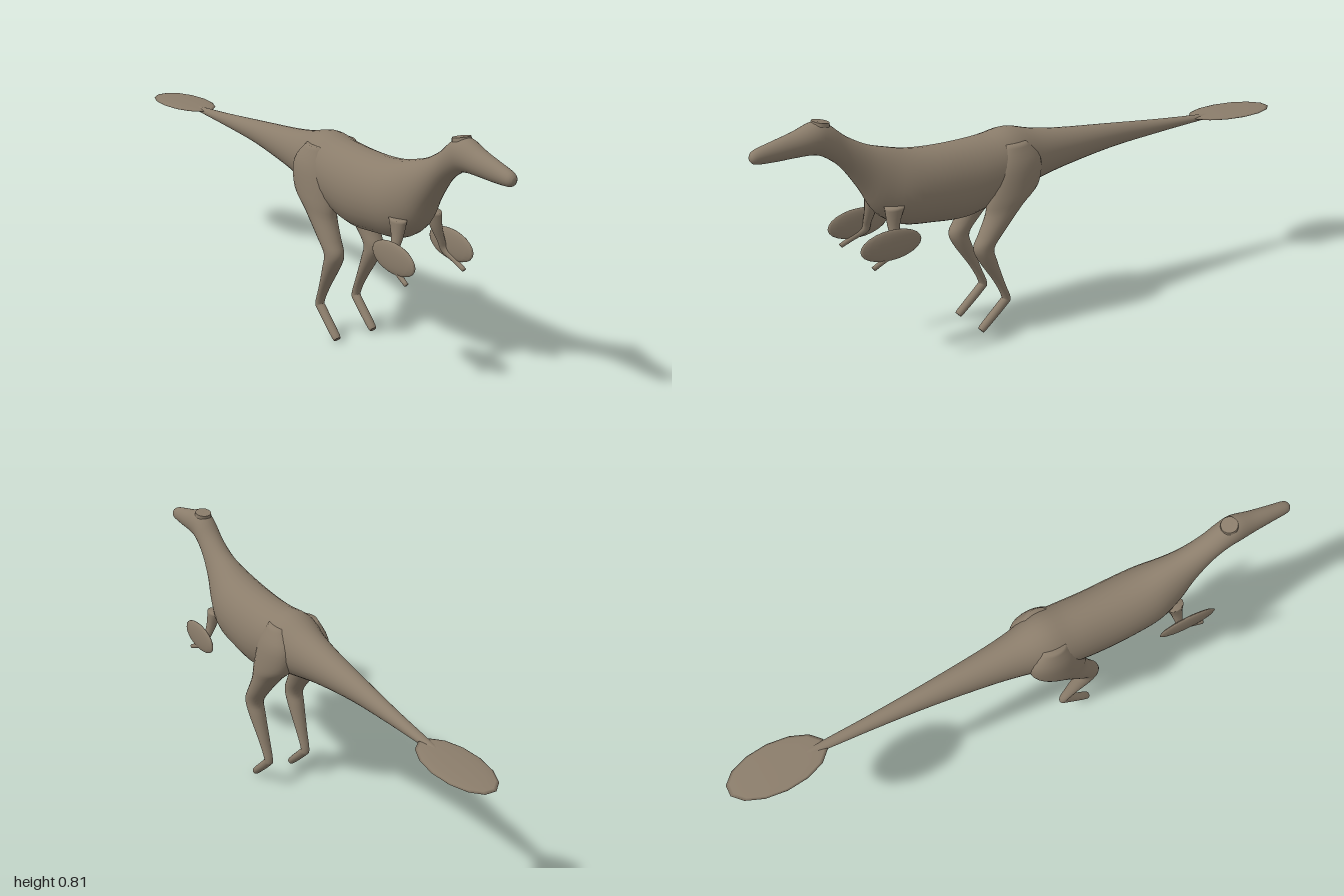
import * as THREE from 'three';

// Smooth skin through cross-sections [centreX, halfWidth, zA, yA, zB, yB],
// where A and B are the two opposite points of a section seen from the side.
function loft(sections, sides = 24, steps = 4) {
  const n = sections.length, rings = [];
  const spline = (a, b, c, d, t) => {
    const v0 = (c - a) / 2, v1 = (d - b) / 2;
    return (2 * b - 2 * c + v0 + v1) * t ** 3 + (-3 * b + 3 * c - 2 * v0 - v1) * t * t + v0 * t + b;
  };
  for (let s = 0; s < n - 1; s++) {
    const [a, b, c, d] = [s - 1, s, s + 1, s + 2].map(k => sections[Math.min(n - 1, Math.max(0, k))]);
    for (let k = 0; k < steps; k++) rings.push(b.map((_, i) => spline(a[i], b[i], c[i], d[i], k / steps)));
  }
  rings.push(sections[n - 1]);

  const pos = [], index = [];
  for (const [cx, w, za, ya, zb, yb] of rings) {
    for (let i = 0; i < sides; i++) {
      const a = (i / sides) * Math.PI * 2, s = Math.sin(a) / 2;
      pos.push(cx + w * Math.cos(a), (ya + yb) / 2 + (ya - yb) * s, (za + zb) / 2 + (za - zb) * s);
    }
  }
  for (let j = 0; j < rings.length - 1; j++) {
    for (let i = 0; i < sides; i++) {
      const p = j * sides + i, q = j * sides + (i + 1) % sides;
      index.push(p, p + sides, q, q, p + sides, q + sides);
    }
  }
  // end caps
  for (const j of [0, rings.length - 1]) {
    const [cx, , za, ya, zb, yb] = rings[j], c = pos.length / 3;
    pos.push(cx, (ya + yb) / 2, (za + zb) / 2);
    for (let i = 0; i < sides; i++) {
      const p = j * sides + i, q = j * sides + (i + 1) % sides;
      if (j === 0) index.push(c, p, q); else index.push(c, q, p);
    }
  }
  const g = new THREE.BufferGeometry();
  g.setAttribute('position', new THREE.Float32BufferAttribute(pos, 3));
  g.setIndex(index);
  g.computeVertexNormals();
  return g;
}

export function createModel() {
  const model = new THREE.Group();
  model.name = 'featheredDinosaur';
  const hide = new THREE.MeshStandardMaterial({ color: 0x8b7d6b });
  hide.name = 'taupe hide';
  const add = (name, geometry, parent = model) => {
    const m = new THREE.Mesh(geometry, hide);
    m.name = name;
    parent.add(m);
    return m;
  };

  // Snout, head, neck, trunk and tail in one skin
  add('body', loft([
    [0, 0.008, 1.0, 0.738, 1.0, 0.722],
    [0, 0.02, 0.985, 0.753, 0.985, 0.71],
    [0, 0.026, 0.93, 0.768, 0.93, 0.706],
    [0, 0.034, 0.86, 0.785, 0.86, 0.706],
    [0, 0.043, 0.79, 0.806, 0.805, 0.704],
    [0, 0.043, 0.745, 0.79, 0.765, 0.69],
    [0, 0.044, 0.69, 0.743, 0.71, 0.645],
    [0, 0.055, 0.62, 0.703, 0.65, 0.56],
    [0, 0.074, 0.55, 0.68, 0.6, 0.475],
    [0, 0.094, 0.48, 0.662, 0.52, 0.422],
    [0, 0.1, 0.4, 0.653, 0.41, 0.404],
    [0, 0.1, 0.3, 0.651, 0.3, 0.395],
    [0, 0.1, 0.2, 0.655, 0.2, 0.415],
    [0, 0.095, 0.11, 0.665, 0.11, 0.445],
    [0, 0.074, 0.01, 0.64, 0.01, 0.468],
    [0, 0.058, -0.1, 0.622, -0.1, 0.49],
    [0, 0.038, -0.3, 0.6, -0.3, 0.517],
    [0, 0.024, -0.5, 0.578, -0.5, 0.53],
    [0, 0.016, -0.66, 0.563, -0.66, 0.538],
    [0, 0.005, -0.82, 0.551, -0.82, 0.544],
  ], 28));

  // Small flat crown on top of the head
  const crown = add('crown', new THREE.CylinderGeometry(0.028, 0.03, 0.012, 16));
  crown.position.set(0, 0.797, 0.77);
  crown.rotation.x = -0.2;

  // Thin fan at the end of the tail
  const fan = add('tailFan', new THREE.SphereGeometry(1, 14, 8));
  fan.scale.set(0.085, 0.007, 0.172);
  fan.position.set(0, 0.55, -0.828);
  fan.rotation.x = -0.025;

  for (const [side, s] of [['left', 1], ['right', -1]]) {
    // Thigh, shin and foot
    add(side + 'Leg', loft([
      [0.06, 0.025, 0.08, 0.63, 0.16, 0.63],
      [0.065, 0.048, 0.03, 0.57, 0.2, 0.56],
      [0.07, 0.051, 0.04, 0.49, 0.23, 0.46],
      [0.073, 0.044, 0.1, 0.435, 0.238, 0.405],
      [0.077, 0.036, 0.17, 0.36, 0.268, 0.345],
      [0.078, 0.031, 0.216, 0.3, 0.288, 0.305],
      [0.077, 0.029, 0.206, 0.25, 0.273, 0.262],
      [0.074, 0.02, 0.174, 0.16, 0.213, 0.172],
      [0.073, 0.015, 0.151, 0.1, 0.183, 0.112],
      [0.072, 0.015, 0.168, 0.074, 0.191, 0.094],
      [0.072, 0.014, 0.248, 0.006, 0.265, 0.025],
      [0.072, 0.008, 0.257, 0.002, 0.269, 0.014],
    ].map(([x, ...r]) => [s * x, ...r])));

    // Upper arm, forearm and hand
    add(side + 'Arm', loft([
      [0.066, 0.024, 0.53, 0.51, 0.6, 0.51],
      [0.074, 0.018, 0.553, 0.46, 0.597, 0.46],
      [0.09, 0.012, 0.567, 0.41, 0.595, 0.415],
      [0.102, 0.01, 0.575, 0.37, 0.597, 0.388],
      [0.107, 0.008, 0.62, 0.352, 0.63, 0.368],
      [0.11, 0.007, 0.665, 0.333, 0.674, 0.346],
    ].map(([x, ...r]) => [s * x, ...r]), 12));

    // Feathered wing disc on the forearm
    const wing = add(side + 'Wing', new THREE.SphereGeometry(1, 16, 12));
    wing.scale.set(0.011, 0.05, 0.106);
    wing.position.set(s * 0.11, 0.404, 0.605);
  }
  return model;
}
